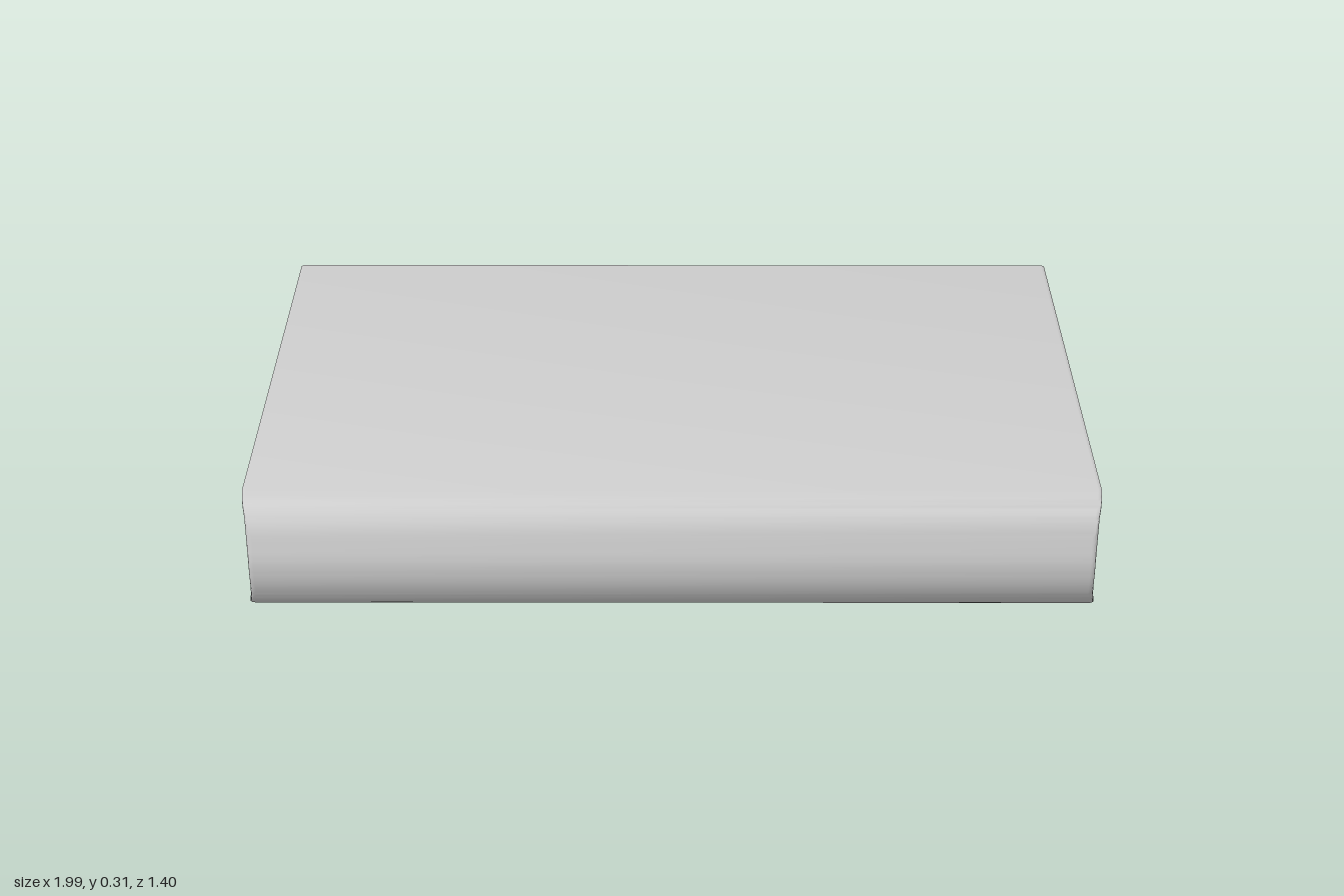
import * as THREE from 'three';
import { toCreasedNormals } from 'three/addons/utils/BufferGeometryUtils.js';

const MID = 0.153, HALF = 0.153;
const lerp = THREE.MathUtils.lerp;

// the ends are slightly dished: longest at the boards, shorter at mid height
const endX = (y) => 0.98 + 0.02 * Math.min(1, Math.abs((y - MID) / HALF)) ** 4;

// upper face slopes down gently towards the fore edge
const topY = (z) => 0.306 - 0.021 * (0.6 - z) / 1.25;

// hollow fore edge of the pages
const foreEdge = (y) => (y < 0.18
  ? -0.63 - 0.06 * ((0.18 - y) / 0.17) ** 2
  : -0.63 - 0.02 * ((y - 0.18) / 0.1) ** 2);

// C-shaped section: lower board, rounded spine, upper board
function coverGeometry() {
  const outer = [
    [-0.6, 0.306], [-0.65, 0.29], [-0.68, 0.255], [-0.694, 0.205], [-0.7, 0.155],
    [-0.691, 0.1], [-0.665, 0.05], [-0.63, 0.016], [-0.59, 0.001],
  ];
  const inner = [
    [-0.59, 0.02], [-0.62, 0.034], [-0.65, 0.064], [-0.672, 0.107], [-0.68, 0.155],
    [-0.675, 0.2], [-0.662, 0.245], [-0.637, 0.275], [-0.595, 0.286],
  ];
  const toPoints = (list) => list.map(([x, y]) => new THREE.Vector2(x, y));

  const s = new THREE.Shape();
  s.moveTo(0.65, 0.284);
  s.lineTo(-0.6, 0.306);
  s.splineThru(toPoints(outer.slice(1)));
  s.lineTo(0.69, 0);
  s.quadraticCurveTo(0.706, 0.006, 0.697, 0.018);
  s.lineTo(0.682, 0.024);
  s.lineTo(-0.59, 0.02);
  s.splineThru(toPoints(inner.slice(1)));
  s.lineTo(0.646, 0.262);
  s.quadraticCurveTo(0.662, 0.276, 0.65, 0.284);

  const g = new THREE.ExtrudeGeometry(s, {
    depth: 1.976, bevelEnabled: true, bevelThickness: 0.012,
    bevelSize: 0.006, bevelOffset: -0.006, bevelSegments: 3, curveSegments: 6,
  });
  g.translate(0, 0, -0.988);
  g.rotateY(Math.PI / 2);

  const p = g.attributes.position;
  for (let i = 0; i < p.count; i++) {
    p.setX(i, p.getX(i) * endX(p.getY(i)));
  }
  return toCreasedNormals(g, 0.7);
}

// page block filling the cover, shaped by bending a subdivided box
function pagesGeometry() {
  const g = new THREE.BoxGeometry(2, 1, 1, 2, 20, 24);
  const p = g.attributes.position;
  for (let i = 0; i < p.count; i++) {
    const v = p.getY(i) + 0.5;
    const t = p.getZ(i) + 0.5;
    const y = lerp(0.01, topY(lerp(-0.65, 0.6, t)) - 0.01, v);
    const front = 0.585 + 0.1 * Math.sqrt(1 - Math.abs(2 * v - 1) ** 2.5);
    const z = lerp(foreEdge(y), front, t);
    p.setXYZ(i, p.getX(i) * (endX(y) - 0.005), y, z);
  }
  return toCreasedNormals(g, 0.7);
}

export function createModel() {
  const group = new THREE.Group();
  group.name = 'book';
  const material = new THREE.MeshStandardMaterial({ color: 0xcccccc });
  const add = (name, geometry) => {
    const mesh = new THREE.Mesh(geometry, material);
    mesh.name = name;
    group.add(mesh);
  };
  add('cover', coverGeometry());
  add('pages', pagesGeometry());
  return group;
}
